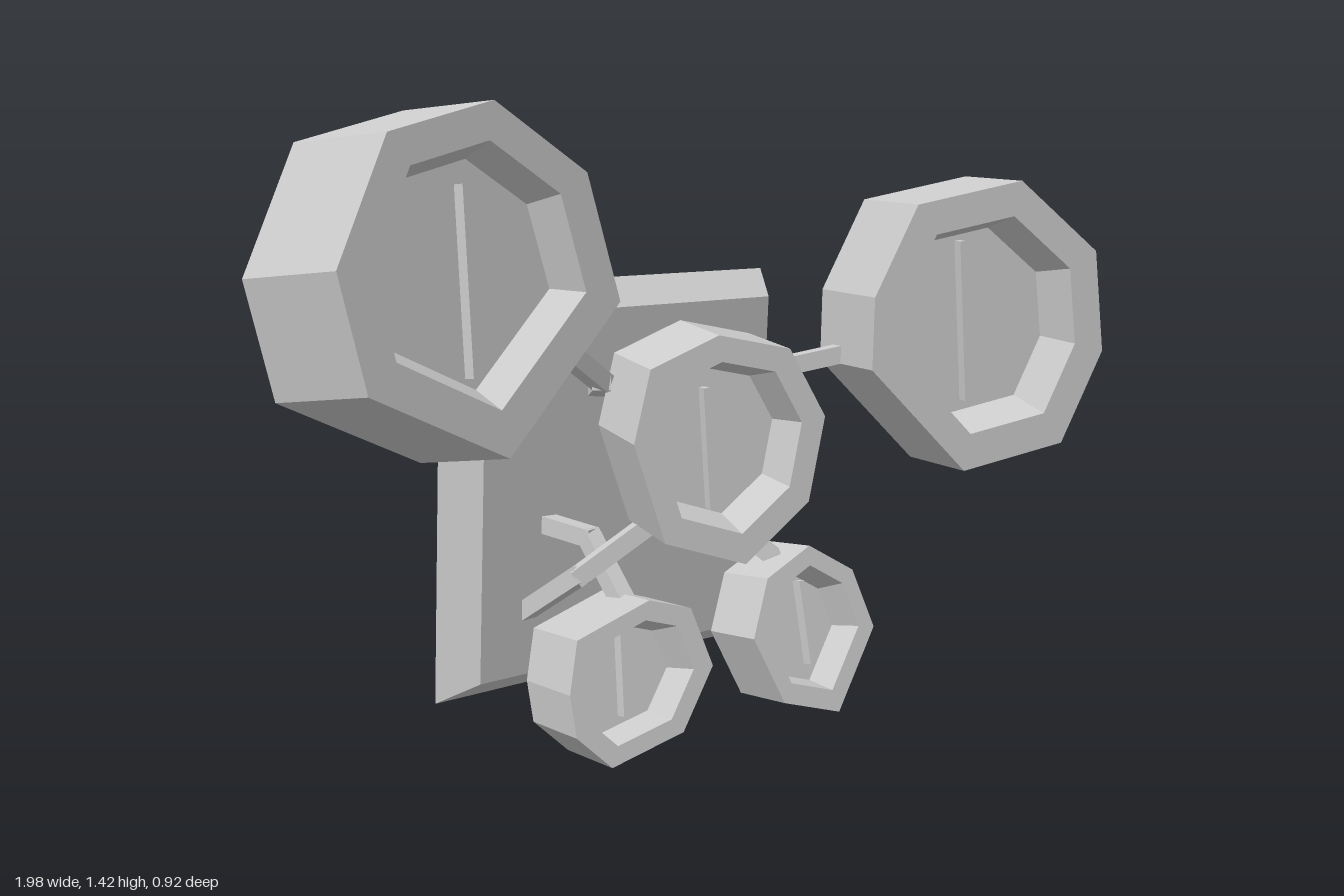
import * as THREE from 'three';

const grey = new THREE.MeshStandardMaterial({ color: 0xcccccc, flatShading: true });
const greyThin = new THREE.MeshStandardMaterial({ color: 0xcccccc, flatShading: true, side: THREE.DoubleSide });
const vec = (p) => new THREE.Vector3(...p);

// Square bar running from a to b; its height points along up
function beam(name, a, b, width, height, up = new THREE.Vector3(0, 1, 0), extra = 0) {
  const mesh = new THREE.Mesh(new THREE.BoxGeometry(width, height, a.distanceTo(b) + extra), grey);
  mesh.name = name;
  mesh.position.copy(a).add(b).multiplyScalar(0.5);
  mesh.up.copy(up);
  mesh.lookAt(b);
  return mesh;
}

// Drum head: an uneven polygon on the plane z = z0 + a*(x-cx) + b*(y-cy),
// lofted through back, front rim, recess opening and recess floor
function drum({ name, points, z0, a, b, back, backScale = 1, recess, slit }) {
  const cx = points.reduce((s, p) => s + p[0], 0) / points.length;
  const cy = points.reduce((s, p) => s + p[1], 0) / points.length;
  const normal = new THREE.Vector3(-a, -b, 1).normalize();
  const into = normal.clone().multiplyScalar(-recess);
  const backShift = vec(back);
  const none = new THREE.Vector3();
  const planeZ = (x, y) => z0 + a * (x - cx) + b * (y - cy);

  const rings = [[0, backShift], [backScale, backShift], [1, none], [0.75, none], [0.65, into], [0, into]]
    .map(([s, shift]) => points.map(([px, py]) => {
      const x = cx + (px - cx) * s, y = cy + (py - cy) * s;
      return new THREE.Vector3(x, y, planeZ(x, y)).add(shift);
    }));

  const corners = [];
  for (let k = 0; k < rings.length - 1; k++) {
    for (let i = 0; i < points.length; i++) {
      const j = (i + 1) % points.length;
      const [p, q, r, s] = [rings[k][i], rings[k + 1][i], rings[k + 1][j], rings[k][j]];
      if (k > 0) corners.push(p, q, s);
      if (k < rings.length - 2) corners.push(q, r, s);
    }
  }
  // The back fan needs the triangle that keeps the two outer corners
  const geometry = new THREE.BufferGeometry().setFromPoints(corners);
  geometry.computeVertexNormals();

  const group = new THREE.Group();
  group.name = name;
  const shell = new THREE.Mesh(geometry, grey);
  shell.name = 'drumShell';
  group.add(shell);

  // Thin upright rib standing on the recess floor
  const lift = (recess - 0.012) * Math.hypot(1, a, b);
  const [top, bottom] = slit.map(([x, y]) => new THREE.Vector3(x, y, planeZ(x, y) - lift));
  group.add(beam('rib', top, bottom, 0.014, 0.03, normal));
  return group;
}

// Two-piece bent arm
function arm(name, path) {
  const group = new THREE.Group();
  group.name = name;
  const p = path.map(vec);
  for (let i = 0; i < p.length - 1; i++) group.add(beam('armSection', p[i], p[i + 1], 0.04, 0.04, undefined, 0.02));
  return group;
}

// Shallow tray, open at the back, narrowing to the front
function backPlate() {
  const geometry = new THREE.BoxGeometry(0.97, 0.937, 0.09);
  const pos = geometry.attributes.position;
  for (let i = 0; i < pos.count; i++) {
    if (pos.getZ(i) > 0) pos.setXY(i, pos.getX(i) * 0.882, pos.getY(i) * 0.876);
  }
  geometry.setIndex(Array.from(geometry.index.array).slice(0, 30));
  geometry.clearGroups();
  geometry.computeVertexNormals();
  const plate = new THREE.Mesh(geometry, greyThin);
  plate.name = 'backPlate';
  plate.position.set(0.1, 0.567, -0.355);
  plate.rotation.set(0.052, -0.026, 0);
  return plate;
}

export function createModel() {
  const model = new THREE.Group();
  model.add(backPlate());

  // Outlines run clockwise as seen from the front
  const drums = [
    {
      name: 'upperRightDrum', z0: 0.09, a: 0, b: -0.065, back: [-0.025, -0.025, -0.255], backScale: 1.03, recess: 0.07,
      points: [[-0.96, 1.12], [-0.835, 1.36], [-0.59, 1.42], [-0.37, 1.285], [-0.3, 1.03], [-0.6, 0.75], [-0.91, 0.895]],
      slit: [[-0.635, 1.265], [-0.635, 0.9]],
    },
    {
      name: 'upperLeftDrum', z0: 0.335, a: 0.41, b: 0.03, back: [0.1, 0, -0.235], backScale: 1.02, recess: 0.1,
      points: [[0.33, 1.01], [0.42, 1.21], [0.66, 1.26], [0.85, 1.1], [0.88, 0.87], [0.79, 0.66], [0.555, 0.61], [0.33, 0.85]],
      slit: [[0.6, 1.125], [0.63, 0.76]],
    },
    {
      name: 'middleDrum', z0: 0.12, a: 0.38, b: 0, back: [0.07, 0.015, -0.19], recess: 0.1,
      points: [[-0.215, 0.725], [-0.18, 0.88], [-0.035, 0.945], [0.12, 0.91], [0.2, 0.76], [0.165, 0.575], [0.025, 0.45], [-0.15, 0.51]],
      slit: [[0, 0.825], [0.015, 0.56]],
    },
    {
      name: 'lowerRightDrum', z0: 0.03, a: 0.2, b: -0.15, back: [0.04, -0.015, -0.19], recess: 0.08,
      points: [[-0.36, 0.21], [-0.33, 0.32], [-0.15, 0.38], [-0.05, 0.35], [-0.01, 0.22], [-0.1, 0.09], [-0.28, 0.045], [-0.355, 0.12]],
      slit: [[-0.175, 0.345], [-0.19, 0.125]],
    },
    {
      name: 'lowerLeftDrum', z0: 0.01, a: 0.18, b: -0.2, back: [0.035, -0.02, -0.175], recess: 0.08,
      points: [[0.21, 0.22], [0.27, 0.35], [0.4, 0.41], [0.515, 0.34], [0.555, 0.2], [0.42, 0.02], [0.27, 0.065]],
      slit: [[0.415, 0.315], [0.415, 0.12]],
    },
  ];
  drums.forEach((d) => model.add(drum(d)));

  // Arms run from the plate to the drum backs, the lower ones poking through
  const arms = {
    upperRightArm: [[0.04, 0.78, -0.37], [-0.17, 0.84, -0.11], [-0.42, 1, -0.07]],
    upperLeftArm: [[0.14, 0.7, -0.37], [0.2, 0.83, -0.04], [0.45, 0.88, 0.09]],
    middleArm: [[-0.2, 0.24, -0.44], [-0.19, 0.41, -0.165], [-0.04, 0.54, -0.06]],
    lowerRightArm: [[-0.175, 0.515, -0.455], [-0.12, 0.48, -0.21], [-0.125, 0.36, -0.1]],
    lowerLeftArm: [[0.24, 0.475, -0.455], [0.295, 0.47, -0.21], [0.385, 0.36, -0.1]],
  };
  for (const [name, path] of Object.entries(arms)) model.add(arm(name, path));

  return model;
}
